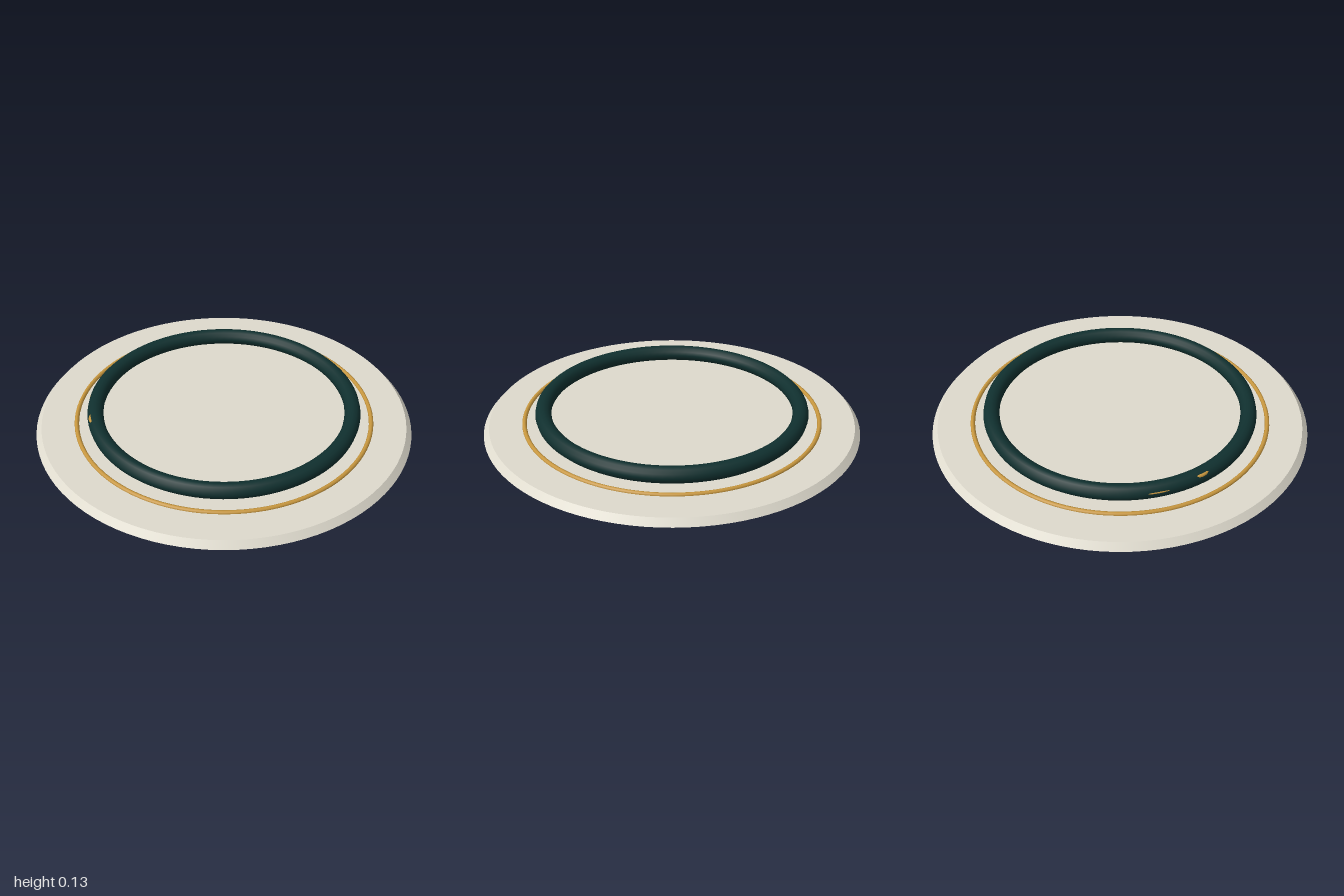
import * as THREE from 'three';

export function createModel() {
  const model = new THREE.Group();
  const material = (name, color) => {
    const m = new THREE.MeshStandardMaterial({ color });
    m.name = name;
    return m;
  };
  const stone = material('warm stone', 0xdedacd);
  const green = material('dark green', 0x10302f);
  const gold = material('gold', 0xc9983f);

  const add = (name, geometry, mat, y = 0) => {
    const mesh = new THREE.Mesh(geometry, mat);
    mesh.name = name;
    mesh.position.y = y;
    model.add(mesh);
    return mesh;
  };

  // Round base plate with a sloping rim
  add('basePlate', new THREE.CylinderGeometry(0.97, 1, 0.034, 96), stone, 0.017);

  // Thin inlaid trim and the thick ring, both lying flat
  const flatRing = (radius, tube, sides) =>
    new THREE.TorusGeometry(radius, tube, sides, 96).rotateX(-Math.PI / 2);
  add('goldTrim', flatRing(0.785, 0.012, 8), gold, 0.034);
  add('greenRing', flatRing(0.683, 0.0425, 12), green, 0.083);

  // Small gold flecks sunk into the outer side of the ring: [from, to] degrees, radius, height
  const flecks = [
    [205, 221, 0.719, 0.091, 0.006],
    [191, 196, 0.711, 0.106, 0.01],
  ];
  for (const [from, to, radius, y, tube] of flecks) {
    const points = [];
    for (let i = 0; i <= 8; i++) {
      const a = THREE.MathUtils.degToRad(from + (to - from) * i / 8);
      // ends dip into the ring
      const r = radius - 0.006 * ((i - 4) / 4) ** 2;
      points.push(new THREE.Vector3(r * Math.cos(a), 0, r * Math.sin(a)));
    }
    add('goldFleck', new THREE.TubeGeometry(new THREE.CatmullRomCurve3(points), 24, tube, 8), gold, y);
  }
  return model;
}
